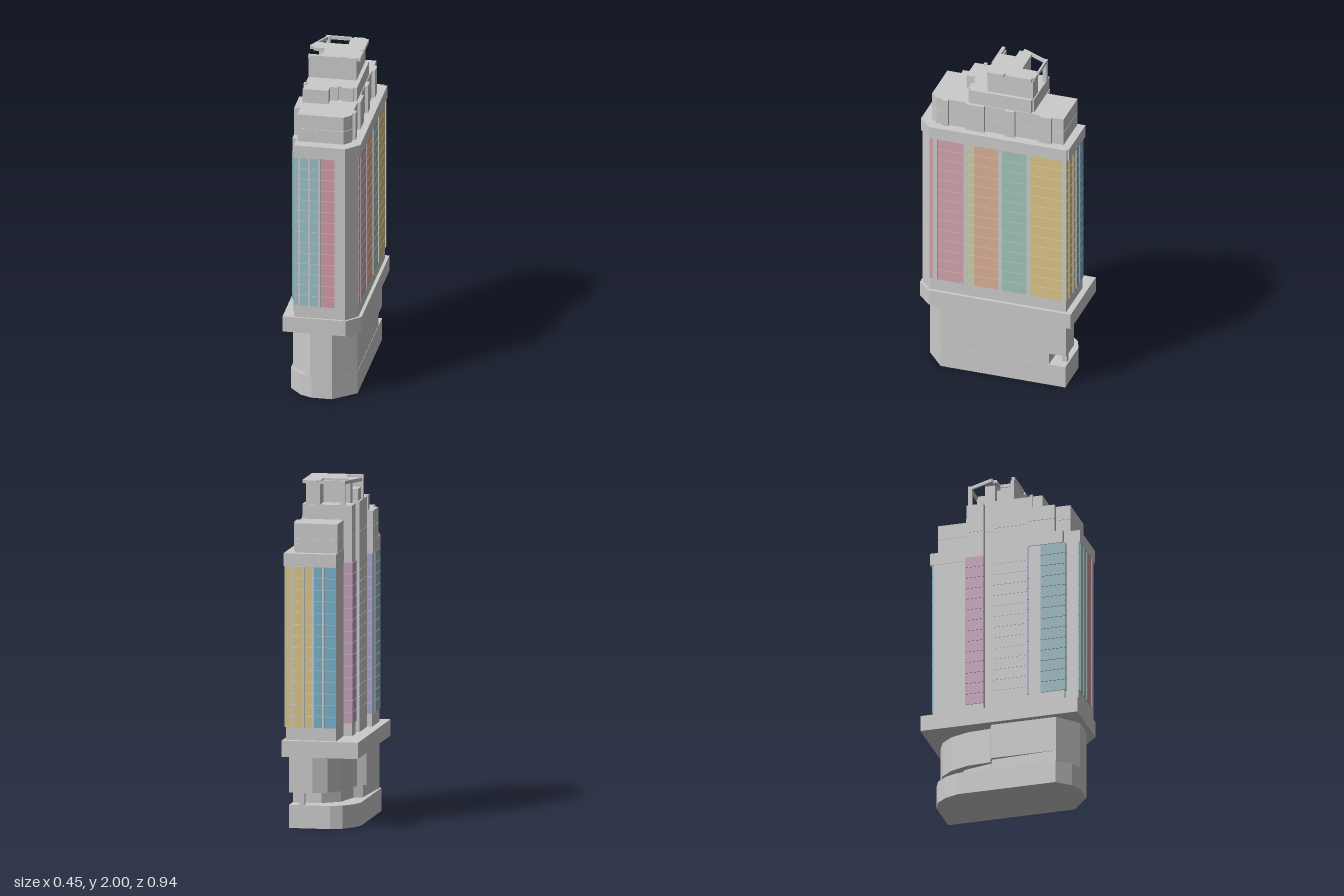
import * as THREE from 'three';

const grey = 0xcccccc;
const materials = new Map();
function material(color) {
  if (!materials.has(color)) {
    materials.set(color, new THREE.MeshStandardMaterial({ color, flatShading: true }));
  }
  return materials.get(color);
}

// Vertical prism over a plan outline of [x, z] corners
function prism(name, plan, y0, y1, color = grey) {
  const shape = new THREE.Shape(plan.map(([x, z]) => new THREE.Vector2(x, -z)));
  const geo = new THREE.ExtrudeGeometry(shape, { depth: y1 - y0, bevelEnabled: false });
  geo.rotateX(-Math.PI / 2).translate(0, y0, 0);
  const mesh = new THREE.Mesh(geo, material(color));
  mesh.name = name;
  return mesh;
}

// Box given by its extents
function box(name, x0, x1, y0, y1, z0, z1, color = grey) {
  const geo = new THREE.BoxGeometry(x1 - x0, y1 - y0, z1 - z0);
  const mesh = new THREE.Mesh(geo, material(color));
  mesh.position.set((x0 + x1) / 2, (y0 + y1) / 2, (z0 + z1) / 2);
  mesh.name = name;
  return mesh;
}

// Straight square bar between two plan points
function bar(name, [ax, az], [bx, bz], y0, y1, width) {
  const length = Math.hypot(bx - ax, bz - az);
  const mesh = new THREE.Mesh(new THREE.BoxGeometry(length, y1 - y0, width), material(grey));
  mesh.position.set((ax + bx) / 2, (y0 + y1) / 2, (az + bz) / 2);
  mesh.rotation.y = -Math.atan2(bz - az, bx - ax);
  mesh.name = name;
  return mesh;
}

// Coloured cladding, one strip per storey with a fine joint between storeys
const FLOORS = 14, BASE = 0.59, TOP = 1.53;
function cladding(name, color, x0, x1, z0, z1) {
  const group = new THREE.Group();
  group.name = name;
  const h = (TOP - BASE) / FLOORS;
  for (let i = 0; i < FLOORS; i++) {
    group.add(box(name + 'Storey', x0, x1, BASE + i * h, BASE + (i + 1) * h - 0.003, z0, z1, color));
  }
  return group;
}

export function createModel() {
  const model = new THREE.Group();
  const add = (...parts) => model.add(...parts);

  // Podium: chamfered front, rounded rear corner
  const base = [[0.06, 0.44], [0.19, 0.33], [0.19, -0.43], [-0.05, -0.43], [-0.12, -0.4],
    [-0.17, -0.34], [-0.2, -0.26], [-0.2, 0.33], [-0.13, 0.41], [-0.06, 0.44]];
  const front = [[-0.19, 0.33], [-0.07, 0.44], [0.06, 0.44], [0.188, 0.33]];
  const curve = [[0.05, -0.435], [-0.03, -0.4], [-0.09, -0.33], [-0.13, -0.22], [-0.14, -0.08], [-0.19, -0.06]];
  add(prism('podiumBase', base, 0, 0.135));
  add(prism('podiumRecess', [...front, [0.188, -0.33], [0.02, -0.33], [-0.08, -0.25],
    [-0.12, -0.08], [-0.17, -0.06]], 0.135, 0.21));
  add(box('rearPier', 0.1, 0.13, 0.135, 0.21, -0.42, -0.39));
  for (const [y0, y1] of [[0.21, 0.27], [0.273, 0.34], [0.343, 0.42]]) {
    add(prism('podiumStorey', [...front, [0.188, -0.435], ...curve], y0 - 0.003, y1));
  }

  // Transfer slab
  add(prism('transferSlab', [[0.145, 0.47], [0.225, 0.39], [0.225, -0.475], [-0.225, -0.475],
    [-0.225, 0.47]], 0.42, 0.515));

  // Stepped left side shared by the shaft and the cornice
  const leftSide = [[-0.09, -0.225], [-0.14, -0.225], [-0.14, -0.12], [-0.11, -0.12],
    [-0.11, -0.06], [-0.15, -0.06], [-0.15, 0.16], [-0.18, 0.16], [-0.18, 0.38], [-0.16, 0.38]];
  add(prism('towerShaft', [[-0.16, 0.458], [0.14, 0.458], [0.206, 0.39], [0.206, -0.44],
    [-0.09, -0.44], ...leftSide], 0.515, 1.53));
  add(prism('cornice', [[-0.16, 0.467], [0.142, 0.467], [0.218, 0.39], [0.218, -0.447],
    [0.2, -0.447], [0.2, -0.457], [-0.092, -0.457], [-0.092, -0.225], ...leftSide.slice(1, 7),
    [-0.186, 0.16], [-0.186, 0.37], [-0.16, 0.37]], 1.53, 1.605));

  // Right-hand cladding: z range and colour of each bay
  const rightBays = [[0.18, 0.39, 0xd6a4ac], [0.12, 0.18, 0xc8d2a8], [-0.05, 0.12, 0xdcb097],
    [-0.225, -0.05, 0xa2c4b8], [-0.445, -0.225, 0xdcc688]];
  for (const [z0, z1, color] of rightBays) add(cladding('rightCladding', color, 0.2, 0.21, z0, z1));
  for (const z of [0.355, 0.17, -0.04, -0.213, -0.43]) {
    add(box('rightFin', 0.2, 0.214, BASE, TOP, z - 0.012, z + 0.012));
  }

  // Front and rear cladding
  add(cladding('frontCladding', 0x9cc4ca, -0.16, 0, 0.45, 0.462));
  add(cladding('frontCladding', 0xd69ca8, 0, 0.085, 0.45, 0.462));
  for (const x of [-0.13, -0.07, -0.01, 0.085]) {
    add(box('frontFin', x - 0.006, x + 0.006, BASE, TOP, 0.45, 0.466));
  }
  add(cladding('rearCladding', 0xdcc688, 0.045, 0.205, -0.446, -0.435));
  add(cladding('rearCladding', 0x78b2cc, -0.09, 0.045, -0.446, -0.435));
  for (const x of [0.17, 0.1, 0.045, -0.015]) {
    add(box('rearFin', x - 0.006, x + 0.006, BASE, TOP, -0.45, -0.435));
  }

  // Left-hand cladding
  add(cladding('leftCladding', 0xc4a0b8, -0.144, -0.09, -0.229, -0.12));
  add(cladding('leftCladding', 0xa8a8cc, -0.184, -0.15, 0.155, 0.165));
  add(cladding('leftCladding', 0x94b4bc, -0.185, -0.16, 0.235, 0.385));
  for (let i = 1; i < FLOORS; i++) {
    const y = BASE + i * (TOP - BASE) / FLOORS;
    add(box('leftFloorJoint', -0.152, -0.14, y - 0.003, y, -0.06, 0.16));
  }

  // Lower setback with projecting bays on the right
  const bays = [[-0.34, -0.265], [-0.115, -0.055], [0.07, 0.18], [0.29, 0.33]];
  const setback = [[-0.15, 0.405], [0.12, 0.405], [0.16, 0.365], [0.16, -0.41], [-0.09, -0.41],
    ...leftSide.slice(0, 7), [-0.185, 0.16], [-0.185, 0.32], [-0.15, 0.32]];
  add(prism('lowerSetback', setback, 1.605, 1.685));
  add(prism('lowerSetback', setback, 1.688, 1.775));
  add(prism('setbackJoint', setback.map(([x, z]) => [x * 0.985, z * 0.99]), 1.68, 1.69));
  for (const [z0, z1] of bays) add(box('setbackBay', 0.15, 0.178, 1.605, 1.775, z0, z1));

  // Upper setback
  add(prism('upperSetback', [[-0.15, 0.237], [0, 0.237], [0, 0.18], [0.045, 0.18], [0.045, 0.165],
    [0.07, 0.165], [0.07, 0.18], [0.135, 0.18], [0.135, 0.165], [0.155, 0.165], [0.155, -0.21],
    [0.135, -0.21], [0.135, -0.222], [-0.14, -0.222], [-0.14, -0.12], [-0.11, -0.12], [-0.11, -0.06],
    [-0.15, -0.06]], 1.775, 1.86));
  add(box('leftPier', -0.155, -0.138, 1.775, 1.87, 0.16, 0.18));

  // Rooftop plant room with an open well at the rear left
  add(prism('plantRoom', [[-0.065, 0.065], [0.133, 0.065], [0.133, -0.215], [0.05, -0.215],
    [0.05, -0.12], [-0.11, -0.12], [-0.11, -0.06], [-0.065, -0.04]], 1.86, 1.98));
  add(box('leftPlantRoom', -0.138, -0.07, 1.86, 1.93, -0.04, 0.045));
  add(box('leftParapet', -0.15, -0.06, 1.86, 1.98, 0.045, 0.065));
  add(prism('roofSlab', [[-0.15, 0.07], [0.045, 0.07], [0.045, 0.06], [0.065, 0.06], [0.065, 0.07],
    [0.135, 0.07], [0.135, 0.06], [0.155, 0.06], [0.155, -0.04], [0.135, -0.04], [0.135, -0.055],
    [0.155, -0.055], [0.155, -0.21], [0.135, -0.21], [0.135, -0.225], [0.065, -0.225],
    [0.065, -0.21], [0.05, -0.21], [0.05, -0.12], [-0.125, -0.12], [-0.165, -0.06],
    [-0.14, -0.06], [-0.14, -0.04], [-0.07, -0.04], [-0.07, 0.05], [-0.15, 0.05]], 1.98, 2));

  // Open roof frame
  add(bar('slantedRoofBar', [-0.16, -0.065], [-0.085, -0.215], 1.98, 2, 0.012));
  add(bar('rearRoofBar', [-0.09, -0.219], [0.055, -0.219], 1.98, 2, 0.012));
  add(box('roofFramePost', -0.097, -0.073, 1.86, 2, -0.227, -0.203));

  return model;
}
